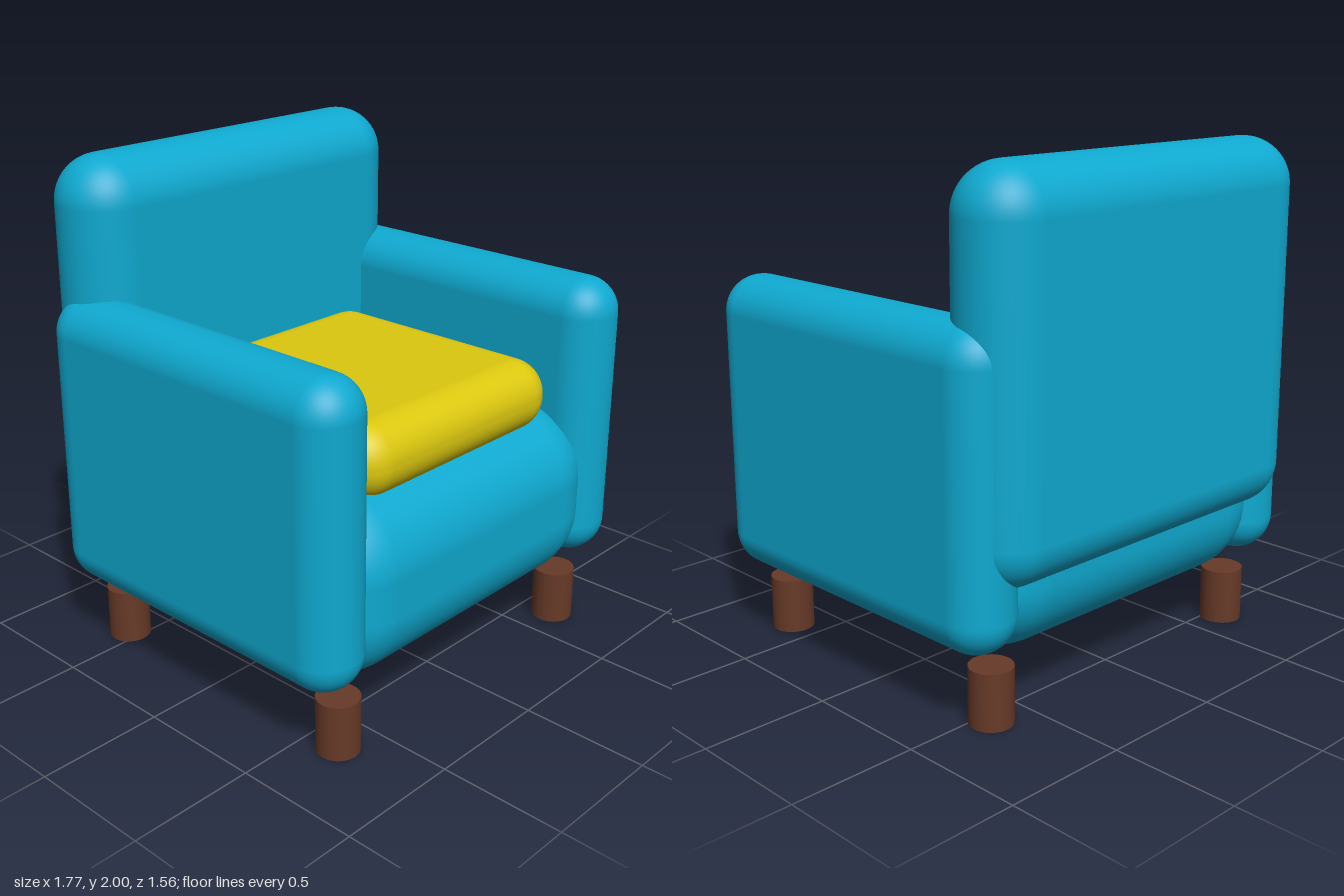
import * as THREE from 'three';
import { RoundedBoxGeometry } from 'three/addons/geometries/RoundedBoxGeometry.js';

const material = (name, color) => {
  const m = new THREE.MeshStandardMaterial({ color });
  m.name = name;
  return m;
};

export function createModel() {
  const group = new THREE.Group();
  group.name = 'armchair';
  const fabric = material('blue fabric', 0x0fa9d0);
  const cushionFabric = material('yellow fabric', 0xdcc80f);
  const wood = material('dark wood', 0x673a28);

  // Padded block given by its lower and upper corners and edge radius
  const pad = (name, mat, min, max, radius) => {
    const size = max.map((v, i) => v - min[i]);
    const mesh = new THREE.Mesh(new RoundedBoxGeometry(...size, 8, radius), mat);
    mesh.position.set(...max.map((v, i) => (v + min[i]) / 2));
    mesh.name = name;
    group.add(mesh);
  };

  // Upholstered body
  pad('seatBase', fabric, [-0.8, 0.225, -0.7], [0.8, 0.97, 0.775], 0.3);
  pad('backrest', fabric, [-0.815, 0.53, -0.78], [0.815, 2, -0.41], 0.183);
  pad('leftArm', fabric, [0.595, 0.3, -0.7], [0.885, 1.48, 0.78], 0.143);
  pad('rightArm', fabric, [-0.885, 0.3, -0.7], [-0.595, 1.48, 0.78], 0.143);

  // Loose seat cushion
  pad('seatCushion', cushionFabric, [-0.555, 0.9, -0.45], [0.555, 1.19, 0.67], 0.14);

  // Four round legs
  const legGeometry = new THREE.CylinderGeometry(0.084, 0.084, 0.222, 32);
  for (const [side, x] of [['Left', 0.665], ['Right', -0.665]]) {
    for (const [end, z] of [['front', 0.635], ['back', -0.55]]) {
      const leg = new THREE.Mesh(legGeometry, wood);
      leg.position.set(x, 0.111, z);
      leg.name = `${end}${side}Leg`;
      group.add(leg);
    }
  }
  return group;
}
